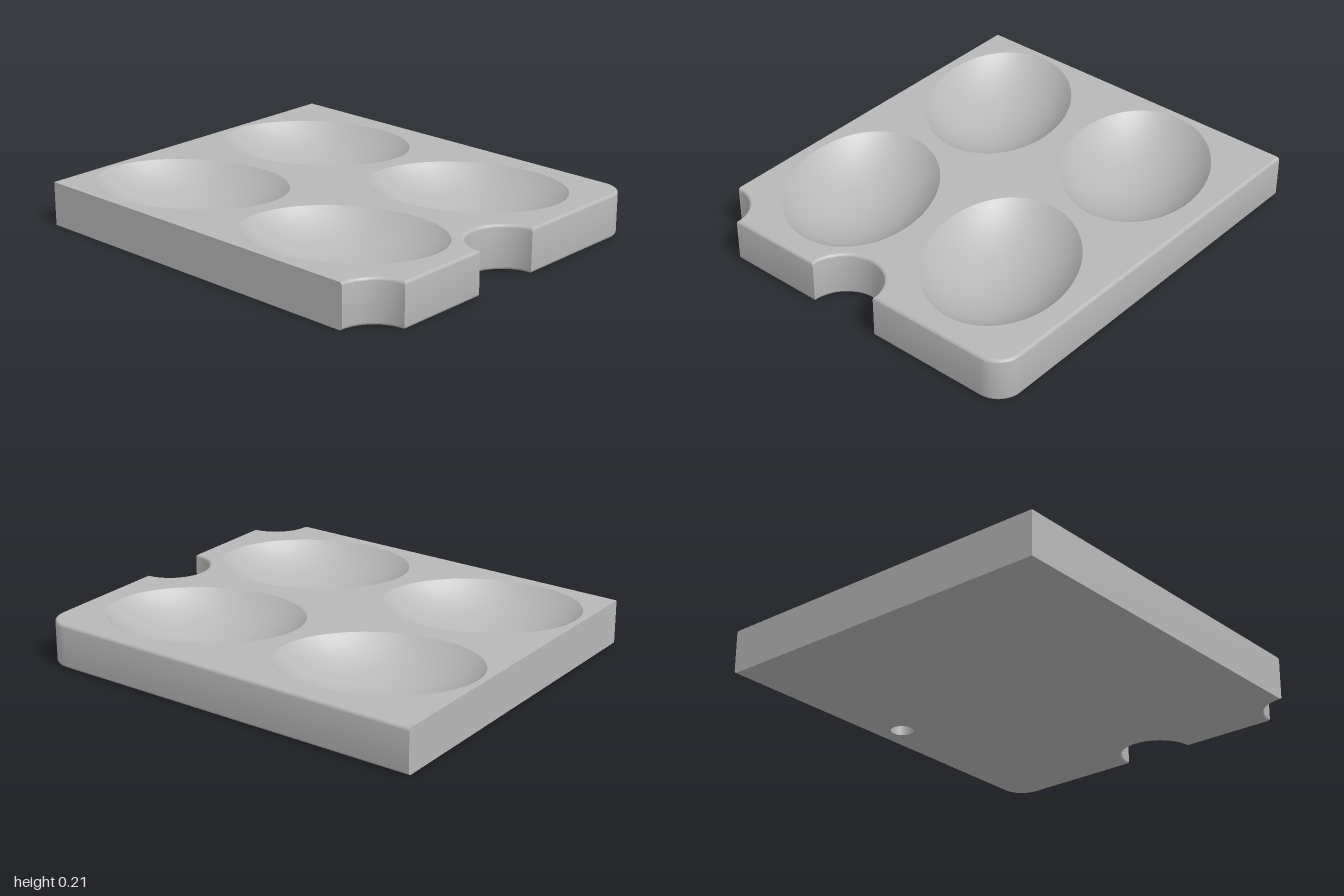
import * as THREE from 'three';
import { toCreasedNormals } from 'three/addons/utils/BufferGeometryUtils.js';

const HEIGHT = 0.212, DEPTH_Z = 0.87, FILLET = 0.014;
const BOWL = { a: 0.468, b: 0.346, depth: 0.17, tilt: THREE.MathUtils.degToRad(25) };
const HOLE = { x: -0.04, z: -0.735, r: 0.055, depth: 0.13 };
const BOWL_CENTRES = [-0.52, 0.443].flatMap((x) => [-0.39, 0.45].map((z) => [x, z]));

// Plan outline as [x, z]; the back, right and notched edges move in by the inset.
function outline(inset) {
  const pts = [[-1, -DEPTH_Z + inset]];
  const arc = (n, from, to, f) => {
    for (let k = 0; k <= n; k++) pts.push(f(from + ((to - from) * k) / n));
  };
  // rounded back corner
  const c = 0.12, r = c - inset;
  arc(16, 0, Math.PI / 2, (t) => [1 - c + r * Math.sin(t), -DEPTH_Z + c - r * Math.cos(t)]);
  // half-round side notch and quarter-round corner notch
  const R = 0.18 + inset, end = Math.PI / 2 - Math.asin(inset / R);
  const notch = (cz) => (t) => [1 - R * Math.cos(t), cz + R * Math.sin(t)];
  arc(36, -end, end, notch(0.03));
  arc(20, -end, 0, notch(DEPTH_Z));
  pts.push([-1, DEPTH_Z]);
  return pts;
}

// Side walls lofted through the outline, with small fillets at top and bottom
function wallGeometry() {
  const levels = [], steps = 4;
  for (let k = 0; k <= steps; k++) {
    const t = (k / steps) * Math.PI / 2;
    levels.push([FILLET * (1 - Math.sin(t)), FILLET * (1 - Math.cos(t))]);
  }
  const all = [...levels, ...levels.slice().reverse().map(([i, y]) => [i, HEIGHT - y])];
  const pos = [], index = [];
  all.forEach(([inset, y]) => outline(inset).forEach(([x, z]) => pos.push(x, y, z)));
  const n = pos.length / 3 / all.length;
  for (let l = 0; l < all.length - 1; l++) {
    for (let k = 0; k < n; k++) {
      const a = l * n + k, b = l * n + ((k + 1) % n);
      index.push(a, a + n, b, b, a + n, b + n);
    }
  }
  const g = new THREE.BufferGeometry();
  g.setAttribute('position', new THREE.Float32BufferAttribute(pos, 3));
  g.setIndex(index);
  return toCreasedNormals(g, 0.6);
}

// Flat face with elliptical openings; side is 1 for the top and -1 for the bottom
function faceGeometry(side, openings) {
  const shape = new THREE.Shape(outline(FILLET).map(([x, z]) => new THREE.Vector2(x, -side * z)));
  for (const [x, z, a, b, tilt] of openings) {
    const curve = new THREE.EllipseCurve(x, -side * z, a, b, 0, Math.PI * 2, false, side * tilt);
    shape.holes.push(new THREE.Path(curve.getPoints(96).slice(0, -1)));
  }
  return new THREE.ShapeGeometry(shape).rotateX((-side * Math.PI) / 2);
}

// Shallow spherical cap stretched to an ellipse, seen from inside
function bowlGeometry() {
  const w = (BOWL.a + BOWL.b) / 2, d = BOWL.depth;
  const R = (w * w + d * d) / (2 * d), sweep = Math.asin(w / R), profile = [];
  for (let k = 24; k >= 0; k--) {
    const t = (sweep * k) / 24;
    profile.push(new THREE.Vector2((R * Math.sin(t)) / w, R - d - R * Math.cos(t) - (R - d) + d - d));
  }
  // lift so the rim sits at y = 0
  const rim = profile[0].y;
  profile.forEach((p) => { p.y -= rim; });
  return new THREE.LatheGeometry(profile, 96).scale(BOWL.a, 1, BOWL.b).rotateY(BOWL.tilt);
}

export function createModel() {
  const group = new THREE.Group();
  group.name = 'tray';
  const grey = new THREE.MeshStandardMaterial({ color: 0xb8b8b8 });
  grey.name = 'grey';
  const add = (name, geometry, x = 0, y = 0, z = 0) => {
    const mesh = new THREE.Mesh(geometry, grey);
    mesh.name = name;
    mesh.position.set(x, y, z);
    group.add(mesh);
  };

  add('sideWalls', wallGeometry());
  add('topFace', faceGeometry(1, BOWL_CENTRES.map(([x, z]) => [x, z, BOWL.a, BOWL.b, BOWL.tilt])), 0, HEIGHT, 0);
  add('bottomFace', faceGeometry(-1, [[HOLE.x, HOLE.z, HOLE.r, HOLE.r, 0]]));

  // four oval bowls
  const bowl = bowlGeometry();
  BOWL_CENTRES.forEach(([x, z], i) => add(`bowl${i + 1}`, bowl, x, HEIGHT, z));

  // blind hole in the underside
  const profile = [[0, HOLE.depth], [HOLE.r, HOLE.depth], [HOLE.r, 0]].map((p) => new THREE.Vector2(...p));
  add('pegHole', toCreasedNormals(new THREE.LatheGeometry(profile, 96), 0.6), HOLE.x, 0, HOLE.z);
  return group;
}
